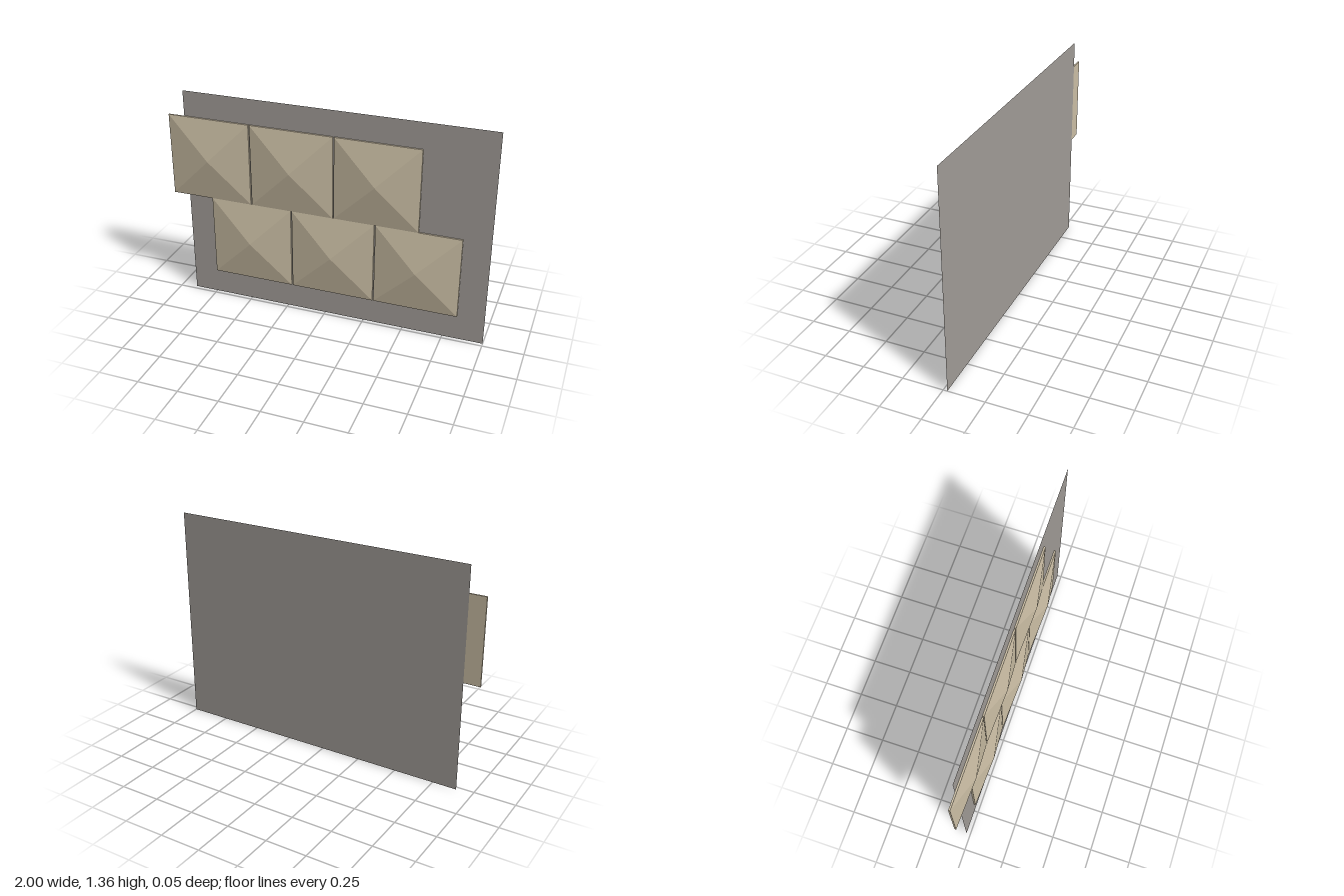
import * as THREE from 'three';

const TILE = 0.52, PITCH = 0.5275, SLAB = 0.01, PEAK = 0.04, BACK = -0.025;

export function createModel() {
  const model = new THREE.Group();
  model.name = 'studdedWallPanel';

  const stone = new THREE.MeshStandardMaterial({ color: 0xcfc2a8, flatShading: true });
  stone.name = 'sandStone';
  const grey = new THREE.MeshStandardMaterial({ color: 0xa39e99, side: THREE.DoubleSide });
  grey.name = 'warmGrey';

  // thin backing sheet
  const backing = new THREE.Mesh(new THREE.PlaneGeometry(1.9, 1.36), grey);
  backing.name = 'backingSheet';
  backing.position.set(0.05, 0.68, BACK);
  model.add(backing);

  // square slab and the low four-sided pyramid on its face
  const slabGeo = new THREE.BoxGeometry(TILE, TILE, SLAB);
  const peakGeo = new THREE.ConeGeometry(TILE / Math.SQRT2, PEAK, 4, 1, true);
  peakGeo.rotateY(Math.PI / 4).rotateX(Math.PI / 2);

  function addTile(x, y, name) {
    const tile = new THREE.Group();
    tile.name = name;
    const slab = new THREE.Mesh(slabGeo, stone);
    slab.name = 'tileSlab';
    slab.position.z = SLAB / 2;
    const peak = new THREE.Mesh(peakGeo, stone);
    peak.name = 'tilePyramid';
    peak.position.z = SLAB + PEAK / 2;
    tile.add(slab, peak);
    tile.position.set(x, y, BACK + 0.0005);
    model.add(tile);
  }

  // two staggered rows of three tiles
  const rows = [
    { name: 'upperTile', x: -0.74, y: 0.94 },
    { name: 'lowerTile', x: -0.48, y: 0.42 },
  ];
  for (const row of rows) {
    for (let i = 0; i < 3; i++) addTile(row.x + i * PITCH, row.y, row.name + (i + 1));
  }
  return model;
}
